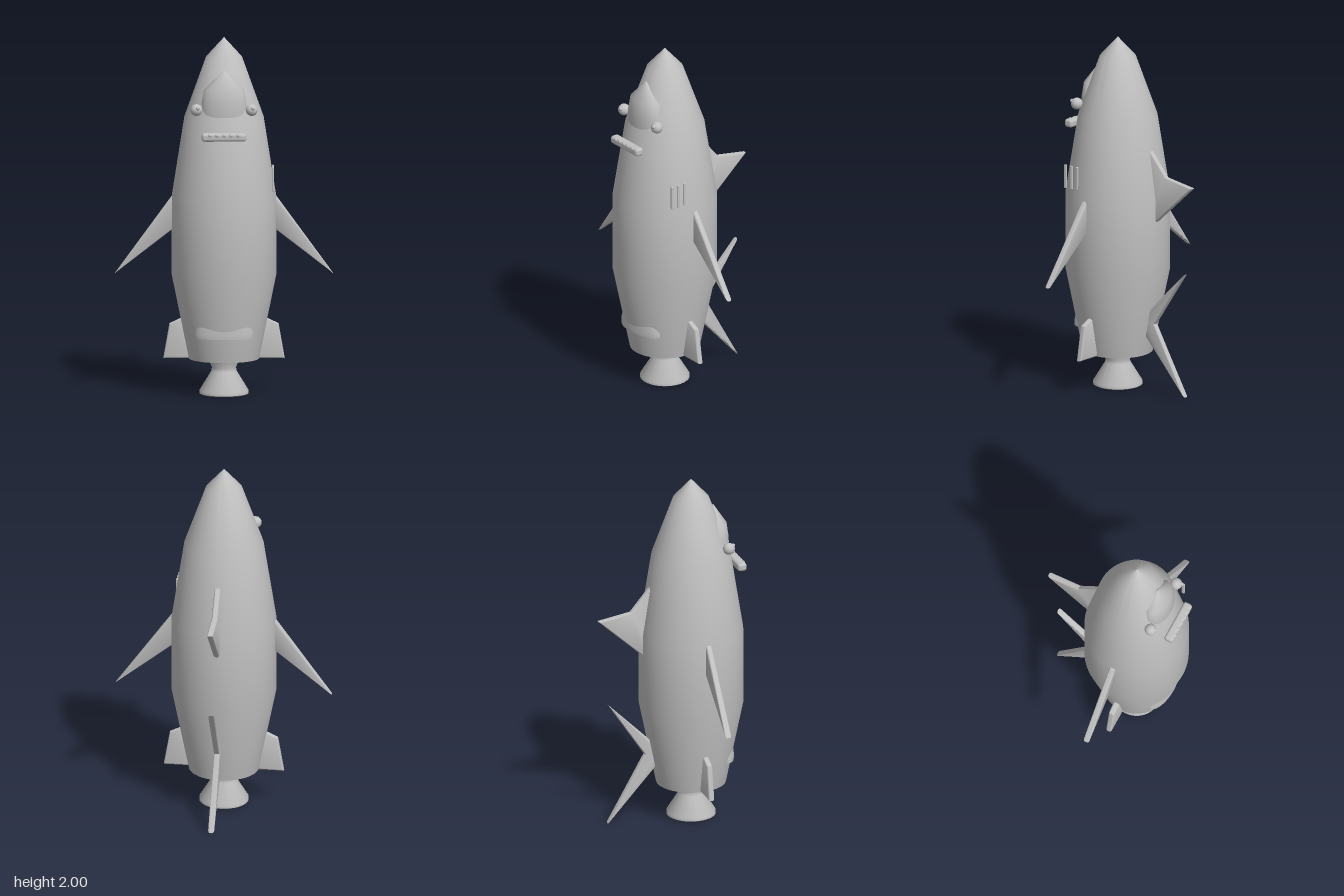
import * as THREE from 'three';
import { toCreasedNormals } from 'three/addons/utils/BufferGeometryUtils.js';
import { RoundedBoxGeometry } from 'three/addons/geometries/RoundedBoxGeometry.js';

export function createModel() {
  const model = new THREE.Group();
  const grey = new THREE.MeshStandardMaterial({ color: 0xc0c0c0 });
  grey.name = 'hull grey';
  const AXIS_Z = 0.13; // the hull sits slightly forward of the origin

  function add(name, geometry, x = 0, y = 0, z = 0) {
    const mesh = new THREE.Mesh(geometry, grey);
    mesh.name = name;
    mesh.position.set(x, y, z);
    model.add(mesh);
    return mesh;
  }

  // Turned solid; profile runs from the bottom axis outward and up
  function turned(profile, crease = 0.7) {
    const pts = profile.map(([r, y]) => new THREE.Vector2(r, y));
    return toCreasedNormals(new THREE.LatheGeometry(pts, 64), crease);
  }

  // Flat fin with rounded edges, centred on its own plane
  function fin(outline, thickness = 0.034) {
    const shape = new THREE.Shape(outline.map(([x, y]) => new THREE.Vector2(x, y)));
    const b = 0.012;
    const depth = thickness - 2 * b;
    const geometry = new THREE.ExtrudeGeometry(shape, {
      depth, bevelThickness: b, bevelSize: b, bevelOffset: -b, bevelSegments: 4,
    });
    geometry.translate(0, 0, -depth / 2);
    return toCreasedNormals(geometry, 0.6);
  }

  // Hull
  add('hull', turned([
    [0, 0.2], [0.195, 0.2], [0.29, 0.67], [0.29, 1.11],
    [0.22, 1.555], [0.1, 1.89], [0, 2],
  ]), 0, 0, AXIS_Z);

  // Engine nozzle, hollow from below
  add('engineNozzle', turned([
    [0, 0.15], [0.05, 0.14], [0.122, 0.005], [0.128, 0], [0.137, 0.005],
    [0.137, 0.02], [0.07, 0.13], [0.067, 0.15], [0.09, 0.205],
  ]), 0, 0, AXIS_Z);

  // Raised brow on the face and lip low on the belly
  add('brow', turned([
    [0, 1.45], [0.1, 1.45], [0.13, 1.55], [0.125, 1.65], [0.11, 1.725], [0, 1.832],
  ], 0.9), 0, 0, 0.26).scale.z = 0.64;
  add('bellyLip', turned([
    [0, 0.335], [0.163, 0.335], [0.166, 0.36], [0.15, 0.43], [0, 0.47],
  ]), 0, 0, 0.285).scale.z = 0.47;

  // Paired side and base fins
  const sideFin = fin([[0.24, 1.16], [0.24, 0.955], [0.29, 0.92], [0.605, 0.677], [0.29, 1.11]]);
  const baseFin = fin([[0.17, 0.2], [0.337, 0.2], [0.303, 0.395], [0.24, 0.425], [0.19, 0.425]]);
  for (const [side, turn] of [['left', 0], ['right', Math.PI]]) {
    add(side + 'SideFin', sideFin, 0, 0, AXIS_Z).rotation.y = turn;
    add(side + 'BaseFin', baseFin, 0, 0, AXIS_Z).rotation.y = turn;
  }

  // Back fin and forked tail, drawn with outline x pointing backward
  add('backFin', fin([
    [0.09, 1.41], [0.09, 0.93], [0.16, 0.985], [0.42, 1.222], [0.23, 1.252], [0.125, 1.375],
  ])).rotation.y = Math.PI / 2;
  add('tailFin', fin([
    [0.05, 0.4], [0.085, 0.31], [0.365, 0.01], [0.148, 0.395], [0.362, 0.717], [0.12, 0.48],
  ])).rotation.y = Math.PI / 2;

  // Eyes with small pupils
  const eye = new THREE.SphereGeometry(0.033, 32, 20);
  const pupil = new THREE.SphereGeometry(0.011, 16, 12);
  for (const [side, s] of [['left', 1], ['right', -1]]) {
    add(side + 'Eye', eye, s * 0.153, 1.615, 0.298);
    add(side + 'Pupil', pupil, s * 0.153 + 0.008, 1.628, 0.326);
  }

  // Mouth bar with a row of teeth along its upper front edge
  add('mouth', new RoundedBoxGeometry(0.248, 0.046, 0.052, 5, 0.016), 0, 1.476, 0.391);
  for (let i = -2; i <= 2; i++) {
    const tooth = add('tooth', new THREE.SphereGeometry(0.014, 16, 10), i * 0.039, 1.488, 0.41);
    tooth.scale.set(1, 0.8, 0.75);
  }

  // Gill bars on the left side only
  for (const z of [0.195, 0.237, 0.279]) {
    add('gill', new RoundedBoxGeometry(0.012, 0.135, 0.017, 3, 0.004), 0.272, 1.225, z);
  }

  return model;
}
